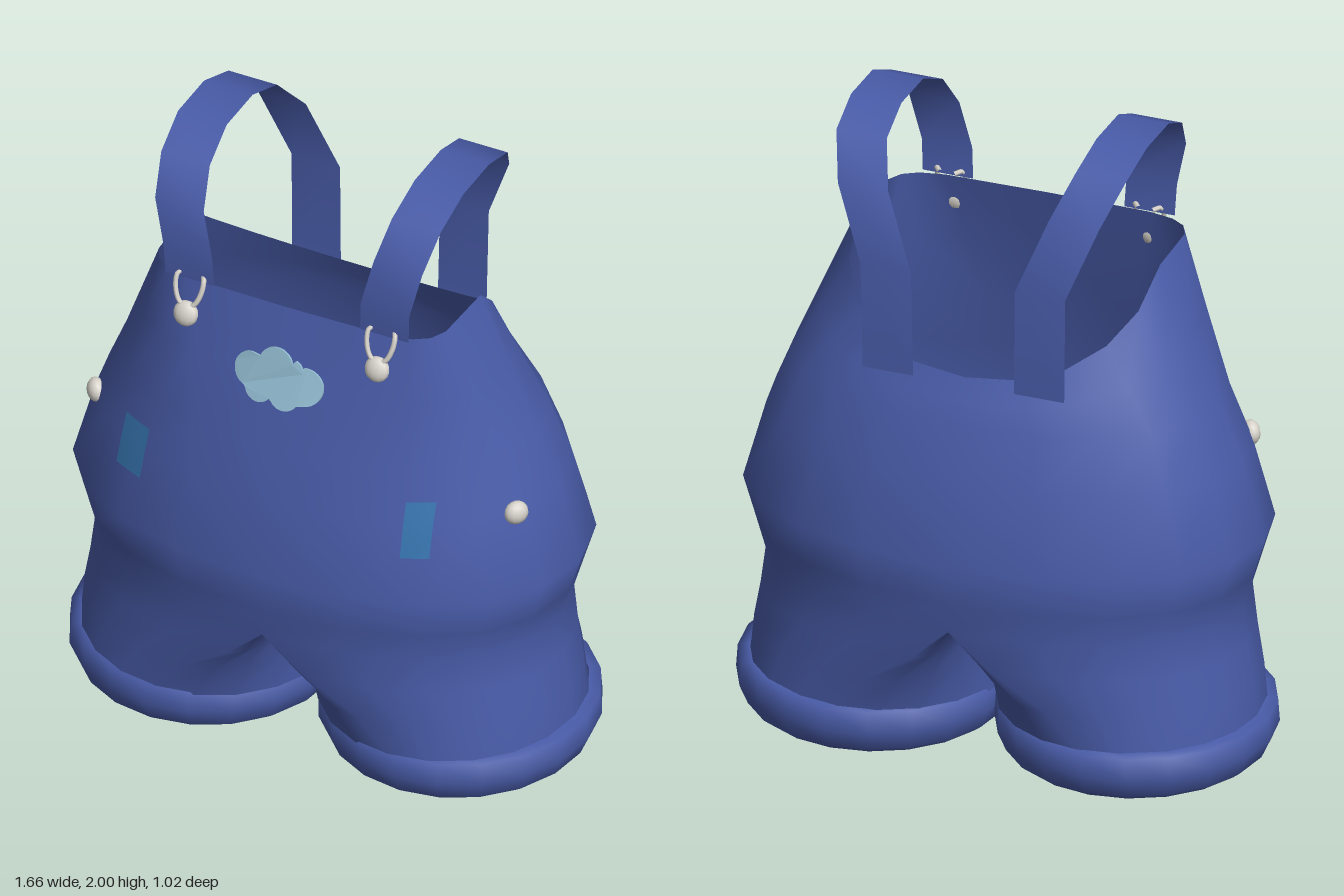
import * as THREE from 'three';
import { mergeVertices } from 'three/addons/utils/BufferGeometryUtils.js';

const N = 20; // points around the torso
const ROUND = 2.2; // roundness of the torso sections
const TILT = -0.28; // lean of the bib
const lerp = THREE.MathUtils.lerp;

// height, half width, front depth, back depth
const SECTIONS = [
  [0.5, 0.74, 0.475, 0.48],
  [0.6, 0.77, 0.49, 0.495],
  [0.73, 0.81, 0.51, 0.515],
  [0.98, 0.74, 0.465, 0.46],
  [1.15, 0.67, 0.43, 0.41],
];

const power = (v, n) => Math.sign(v) * Math.abs(v) ** (2 / n);

// One point of a rounded cross-section
function sectionPoint([y, rx, front, back], i, n = ROUND) {
  const a = (i / N) * Math.PI * 2;
  const s = Math.sin(a);
  return new THREE.Vector3(rx * power(Math.cos(a), n), y, (s > 0 ? front : back) * power(s, n));
}

// Opening: level around the bib, sloping down to the back
function rimPoint(i) {
  const p = sectionPoint([1.58, 0.48, 0.31, 0.35], i, i > 0 && i < N / 2 ? 6 : ROUND);
  p.y += Math.min(0, p.z) * 0.857;
  return p;
}

// Skin closed rings, listed from bottom to top
function addLoft(rings, out) {
  for (let j = 0; j < rings.length - 1; j++) {
    const lo = rings[j], hi = rings[j + 1];
    for (let i = 0; i < lo.length; i++) {
      const k = (i + 1) % lo.length;
      for (const p of [lo[i], hi[i], lo[k], hi[i], hi[k], lo[k]]) out.push(p.x, p.y, p.z);
    }
  }
}

function smoothGeometry(positions) {
  let g = new THREE.BufferGeometry();
  g.setAttribute('position', new THREE.Float32BufferAttribute(positions, 3));
  g = mergeVertices(g, 1e-4);
  g.computeVertexNormals();
  return g;
}

// Leg ring: blends from half of the torso (t = 0) to an oval hem (t = 1)
function legRing(side, y, t) {
  const ring = [];
  for (let i = 0; i < N; i++) {
    const a = (i / N) * Math.PI * 2 - Math.PI / 2;
    const top = sectionPoint(SECTIONS[0], (i - N / 4 + N) % N);
    if (i > N / 2) top.x = 0;
    const x = lerp(top.x, 0.39 + 0.4 * Math.cos(a), t);
    ring.push(new THREE.Vector3(side * x, y, lerp(top.z, 0.41 * Math.sin(a), t)));
  }
  return side > 0 ? ring : ring.reverse();
}

function bodyGeometry() {
  const out = [];
  const around = (f) => Array.from({ length: N }, (_, i) => f(i));
  const rings = SECTIONS.map((s) => around((i) => sectionPoint(s, i)));
  const rim = around(rimPoint);
  const last = rings[rings.length - 1];
  rings.push(around((i) => last[i].clone().lerp(rim[i], 0.5)), rim);
  addLoft(rings, out);
  for (const side of [1, -1]) {
    addLoft([[0.14, 1], [0.26, 0.75], [0.38, 0.32], [0.5, 0]].map(([y, t]) => legRing(side, y, t)), out);
  }
  return smoothGeometry(out);
}

// Front surface depth at x, y
function frontZ(x, y) {
  const j = SECTIONS.findIndex((s) => s[0] > y);
  const lo = SECTIONS[j - 1], hi = SECTIONS[j];
  const t = (y - lo[0]) / (hi[0] - lo[0]);
  const rx = lerp(lo[1], hi[1], t);
  return lerp(lo[2], hi[2], t) * (1 - Math.abs(x / rx) ** ROUND) ** (1 / ROUND);
}

// Flat ribbon strap: z, y and centre x along its path
function strapGeometry(side) {
  const path = [
    [0.31, 1.58, 0.32], [0.315, 1.68, 0.325], [0.3, 1.83, 0.36], [0.22, 1.94, 0.38], [0.09, 2.0, 0.39],
    [-0.08, 2.0, 0.39], [-0.22, 1.95, 0.38], [-0.32, 1.83, 0.335], [-0.365, 1.6, 0.245], [-0.36, 1.26, 0.24],
  ];
  const out = [];
  for (let i = 0; i < path.length - 1; i++) {
    const [a, b] = [path[i], path[i + 1]];
    const corner = (p, w) => [p[2] * side + w, p[1], p[0]];
    const [al, ar, bl, br] = [corner(a, -0.08), corner(a, 0.08), corner(b, -0.08), corner(b, 0.08)];
    out.push(...al, ...ar, ...bl, ...ar, ...br, ...bl);
  }
  return smoothGeometry(out);
}

// Cloud plate, bent slightly around the chest
function cloudGeometry() {
  const shape = new THREE.Shape();
  // lobe centre, radius, start and end angle
  const lobes = [
    [0.09, -0.005, 0.06, -70, 95], [0.045, 0.035, 0.038, 0, 70], [-0.005, 0.042, 0.055, 15, 165],
    [-0.085, 0.005, 0.055, 90, 255], [-0.05, -0.04, 0.047, 200, 325], [0.035, -0.045, 0.048, 215, 330],
  ];
  for (const [x, y, r, from, to] of lobes) {
    shape.absarc(x, y, r, THREE.MathUtils.degToRad(from), THREE.MathUtils.degToRad(to), false);
  }
  const g = new THREE.ExtrudeGeometry(shape, { depth: 0.009, bevelEnabled: false, curveSegments: 8 });
  const p = g.attributes.position;
  for (let i = 0; i < p.count; i++) p.setZ(i, p.getZ(i) - 0.8 * p.getX(i) ** 2);
  g.computeVertexNormals();
  return g;
}

export function createModel() {
  const group = new THREE.Group();
  const material = (name, color, side = THREE.FrontSide) => {
    const m = new THREE.MeshStandardMaterial({ color, side });
    m.name = name;
    return m;
  };
  const denim = material('denim blue', 0x495ca9, THREE.DoubleSide);
  const patchBlue = material('patch blue', 0x3674ae, THREE.DoubleSide);
  const cloudBlue = material('cloud blue', 0x93bdd2);
  const metal = material('pale metal', 0xd8d4cc);
  const add = (name, geometry, mat, x = 0, y = 0, z = 0, parent = group) => {
    const mesh = new THREE.Mesh(geometry, mat);
    mesh.name = name;
    mesh.position.set(x, y, z);
    parent.add(mesh);
    return mesh;
  };

  add('overallsBody', bodyGeometry(), denim);

  // Rolled hem with closed underside
  const cuffProfile = [[0, 0], [0.37, 0], [0.395, 0.02], [0.42, 0.08], [0.415, 0.15], [0.38, 0.155]]
    .map(([r, y]) => new THREE.Vector2(r, y));
  const hookCurve = new THREE.CatmullRomCurve3(
    [[-0.022, 0.125, -0.02], [-0.042, 0.12, 0.004], [-0.042, 0.075, 0.01], [-0.02, 0.03, 0.01],
      [0.02, 0.03, 0.01], [0.042, 0.075, 0.01], [0.042, 0.12, 0.004], [0.022, 0.125, -0.02]]
      .map((p) => new THREE.Vector3(...p)));

  for (const side of [1, -1]) {
    const label = side > 0 ? 'left' : 'right';
    add(label + 'Cuff', new THREE.LatheGeometry(cuffProfile, 20), denim, side * 0.41, 0, -0.01).scale.z = 1.03;
    add(label + 'Strap', strapGeometry(side), denim);

    // Bib fastener: wire loop over a round stud
    const fastener = new THREE.Group();
    fastener.name = label + 'Fastener';
    fastener.position.set(side * 0.315, 1.48, 0.342);
    fastener.rotation.x = TILT;
    group.add(fastener);
    add('wireLoop', new THREE.TubeGeometry(hookCurve, 24, 0.008, 6), metal, 0, 0, 0, fastener);
    add('stud', new THREE.SphereGeometry(0.04, 12, 8), metal, 0, 0, 0.006, fastener).scale.z = 0.6;

    // Hip button facing outward
    const button = add(label + 'HipButton', new THREE.SphereGeometry(0.038, 12, 8), metal, side * 0.692, 0.98, 0.185);
    button.rotation.y = side * 0.9;
    button.scale.z = 0.75;
  }

  // Patches that hug the front: centre x, centre y, width, height, skew
  for (const [name, cx, cy, w, h, skew] of [
    ['leftPatch', 0.468, 0.97, 0.08, 0.175, 0], ['rightPatch', -0.472, 0.975, 0.1, 0.16, 0.1],
  ]) {
    const g = new THREE.PlaneGeometry(w, h, 4, 4);
    const p = g.attributes.position;
    for (let i = 0; i < p.count; i++) {
      const x = cx + p.getX(i) + skew * p.getY(i);
      const y = cy + p.getY(i);
      p.setXYZ(i, x, y, frontZ(x, y) + 0.008);
    }
    g.computeVertexNormals();
    add(name, g, patchBlue);
  }

  add('cloudPatch', cloudGeometry(), cloudBlue, 0, 1.37, 0.382).rotation.x = TILT;
  return group;
}
